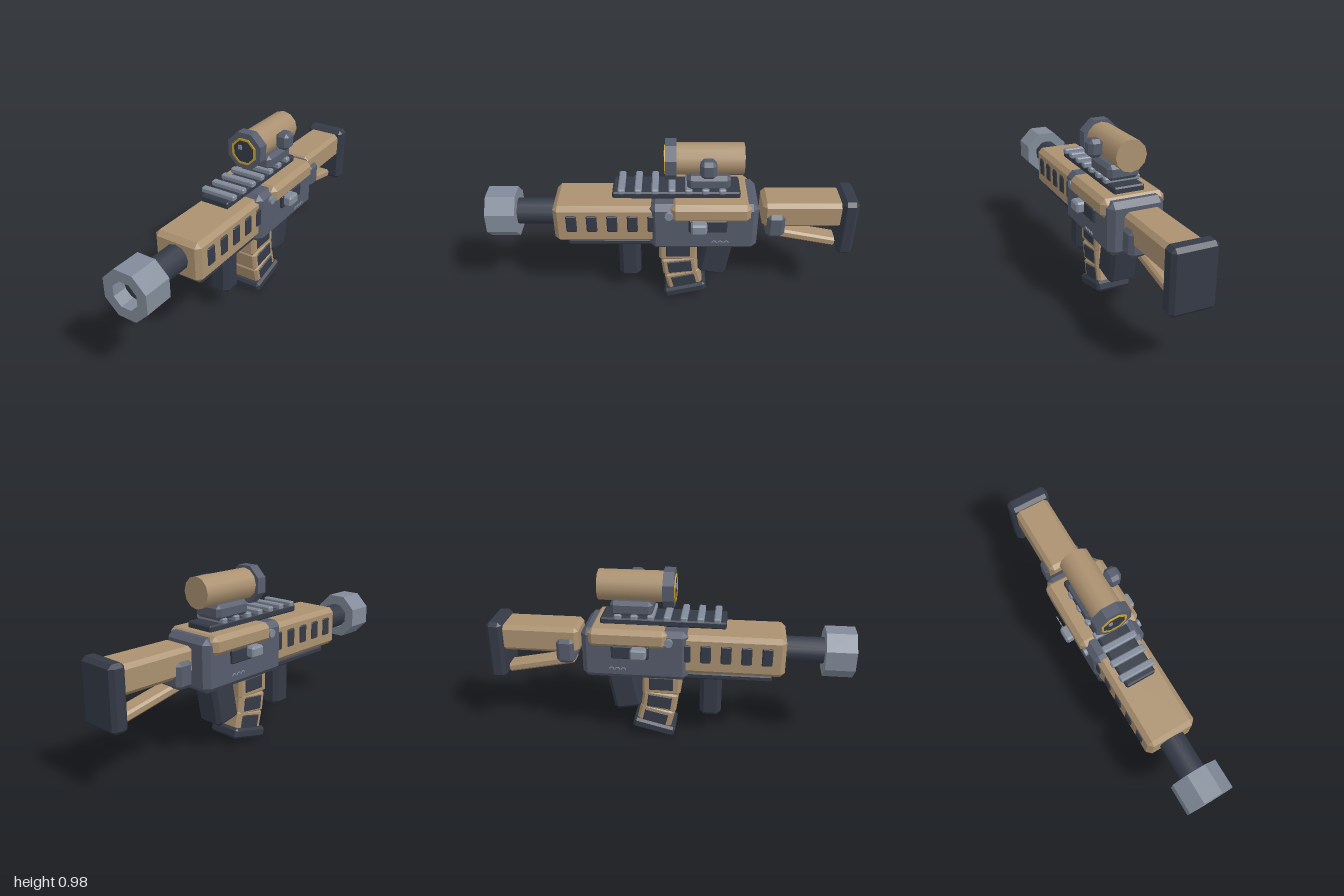
import * as THREE from 'three';
import { ConvexGeometry } from 'three/addons/geometries/ConvexGeometry.js';

const mat = (name, color) => {
  const m = new THREE.MeshStandardMaterial({ color });
  m.name = name;
  return m;
};

// Box with all edges chamfered by c
function chamferBox(w, h, d, c) {
  const pts = [];
  const [x, y, z] = [w / 2, h / 2, d / 2];
  for (const i of [-1, 1]) for (const j of [-1, 1]) for (const k of [-1, 1]) {
    pts.push(
      new THREE.Vector3(i * x, j * (y - c), k * (z - c)),
      new THREE.Vector3(i * (x - c), j * y, k * (z - c)),
      new THREE.Vector3(i * (x - c), j * (y - c), k * z));
  }
  return new ConvexGeometry(pts);
}

// Flat-topped octagon outline; r is the distance to a flat side
function octagon(r, Type = THREE.Shape) {
  const pts = [];
  const R = r / Math.cos(Math.PI / 8);
  for (let i = 0; i < 8; i++) {
    const a = (i + 0.5) * Math.PI / 4;
    pts.push(new THREE.Vector2(R * Math.cos(a), R * Math.sin(a)));
  }
  return new Type(pts);
}

// Octagonal prism along z, with an optional octagonal hole
function octPrism(r, hole, z0, z1) {
  const s = octagon(r);
  if (hole) s.holes.push(octagon(hole, THREE.Path));
  return new THREE.ExtrudeGeometry(s, { depth: z1 - z0, bevelEnabled: false }).translate(0, 0, z0);
}

export function createModel() {
  const tan = mat('tan', 0xab9170);
  const light = mat('light steel', 0x828b9a);
  const mid = mat('slate', 0x565c6c);
  const dark = mat('dark slate', 0x343a47);
  const gold = mat('gold', 0xcba328);

  const model = new THREE.Group();
  const add = (name, geo, material, x = 0, y = 0, z = 0, rx = 0) => {
    const m = new THREE.Mesh(geo, material);
    m.name = name;
    m.position.set(x, y, z);
    m.rotation.x = rx;
    model.add(m);
    return m;
  };
  // Chamfered box given by its ranges in x (half width), y and z
  const block = (name, material, hx, y0, y1, z0, z1, c) =>
    add(name, chamferBox(hx * 2, y1 - y0, z1 - z0, c), material, 0, (y0 + y1) / 2, (z0 + z1) / 2);

  // Muzzle and barrel
  add('muzzle', octPrism(0.127, 0.07, 0.84, 1), light, 0, 0.555);
  const barrel = new THREE.CylinderGeometry(0.072, 0.072, 0.85, 12).rotateX(Math.PI / 2);
  add('barrel', barrel, dark, 0, 0.557, 0.5);

  // Handguard with side vents
  block('handguard', tan, 0.138, 0.44, 0.665, 0.05, 0.635, 0.025);
  for (const s of [-1, 1]) for (let i = 0; i < 5; i++) {
    add('handguardVent', chamferBox(0.03, 0.102, 0.057, 0.006), dark, s * 0.131, 0.565, 0.537 - i * 0.109);
  }

  // Receiver and top cover
  block('receiver', mid, 0.155, 0.4, 0.687, -0.462, 0.117, 0.03);
  block('topCover', tan, 0.177, 0.592, 0.697, -0.422, 0.005, 0.026);

  // Side fittings on both flanks
  for (const s of [-1, 1]) {
    add('ejectionPort', chamferBox(0.03, 0.075, 0.205, 0.006), dark, s * 0.157, 0.568, -0.193);
    add('chargingKnob', chamferBox(0.07, 0.06, 0.085, 0.01), light, s * 0.18, 0.575, -0.145);
    const pin = new THREE.CylinderGeometry(0.023, 0.023, 0.03, 10).rotateZ(Math.PI / 2);
    add('takedownPin', pin, light, s * 0.157, 0.633, 0.014);
    for (let i = 0; i < 3; i++) {
      const arc = new THREE.TorusGeometry(0.012, 0.0035, 4, 6, Math.PI).rotateY(Math.PI / 2);
      add('gripMark', arc, light, s * 0.18, 0.472, -0.228 - i * 0.032);
    }
  }

  // Top rail with cross slats
  block('railBase', dark, 0.085, 0.69, 0.73, -0.365, 0.315, 0.008);
  for (let i = 0; i < 7; i++) {
    add('railSlat', chamferBox(0.2, 0.03, 0.037, 0.006), light, 0, 0.74, 0.266 - i * 0.089);
  }

  // Scope
  block('scopeMount', mid, 0.09, 0.742, 0.825, -0.31, -0.08, 0.02);
  const tube = new THREE.CylinderGeometry(0.085, 0.085, 0.36, 12).rotateX(Math.PI / 2);
  add('scopeTube', tube, tan, 0, 0.89, -0.198);
  add('scopeBell', octPrism(0.1, 0, -0.025, 0.034), mid, 0, 0.886);
  add('lensRing', octPrism(0.071, 0.06, 0.034, 0.04), gold, 0, 0.884);
  add('lens', octPrism(0.06, 0, 0.034, 0.037), dark, 0, 0.884);
  add('lensGlint', new THREE.BoxGeometry(0.02, 0.024, 0.007), light, -0.022, 0.905, 0.0405);
  add('scopeTurret', chamferBox(0.08, 0.096, 0.085, 0.02), mid, 0.117, 0.896, -0.188);

  // Lower rail and fore grip
  block('lowerRail', dark, 0.095, 0.39, 0.43, 0.05, 0.572, 0.01);
  block('foreGrip', dark, 0.06, 0.135, 0.41, 0.178, 0.3, 0.025);

  // Swept magazine: segment y, z, height, length, tilt
  const segments = [
    [0.34, -0.036, 0.14, 0.215, 0],
    [0.226, -0.046, 0.12, 0.2, 0.13],
    [0.122, -0.07, 0.13, 0.2, 0.24],
  ];
  for (const [y, z, h, len, tilt] of segments) {
    add('magazineSegment', chamferBox(0.164, h, len, 0.014), tan, 0, y, z, tilt);
    for (const s of [-1, 1]) {
      add('magazinePanel', chamferBox(0.014, 0.078, 0.135, 0.004), dark, s * 0.08, y, z, tilt);
    }
  }
  add('magazineBase', chamferBox(0.2, 0.06, 0.243, 0.014), dark, 0, 0.061, -0.078, 0.245);

  // Pistol grip
  add('pistolGrip', chamferBox(0.16, 0.3, 0.16, 0.022), dark, 0, 0.315, -0.25, -0.18);

  // Shoulder stock
  block('stock', tan, 0.1, 0.51, 0.66, -0.93, -0.49, 0.022);
  block('stockLatch', mid, 0.12, 0.455, 0.6, -0.615, -0.512, 0.022);
  add('stockBrace', chamferBox(0.1, 0.05, 0.4, 0.012), tan, 0, 0.412, -0.725, -0.2);
  block('buttPlate', dark, 0.12, 0.345, 0.68, -1, -0.912, 0.02);

  return model;
}
